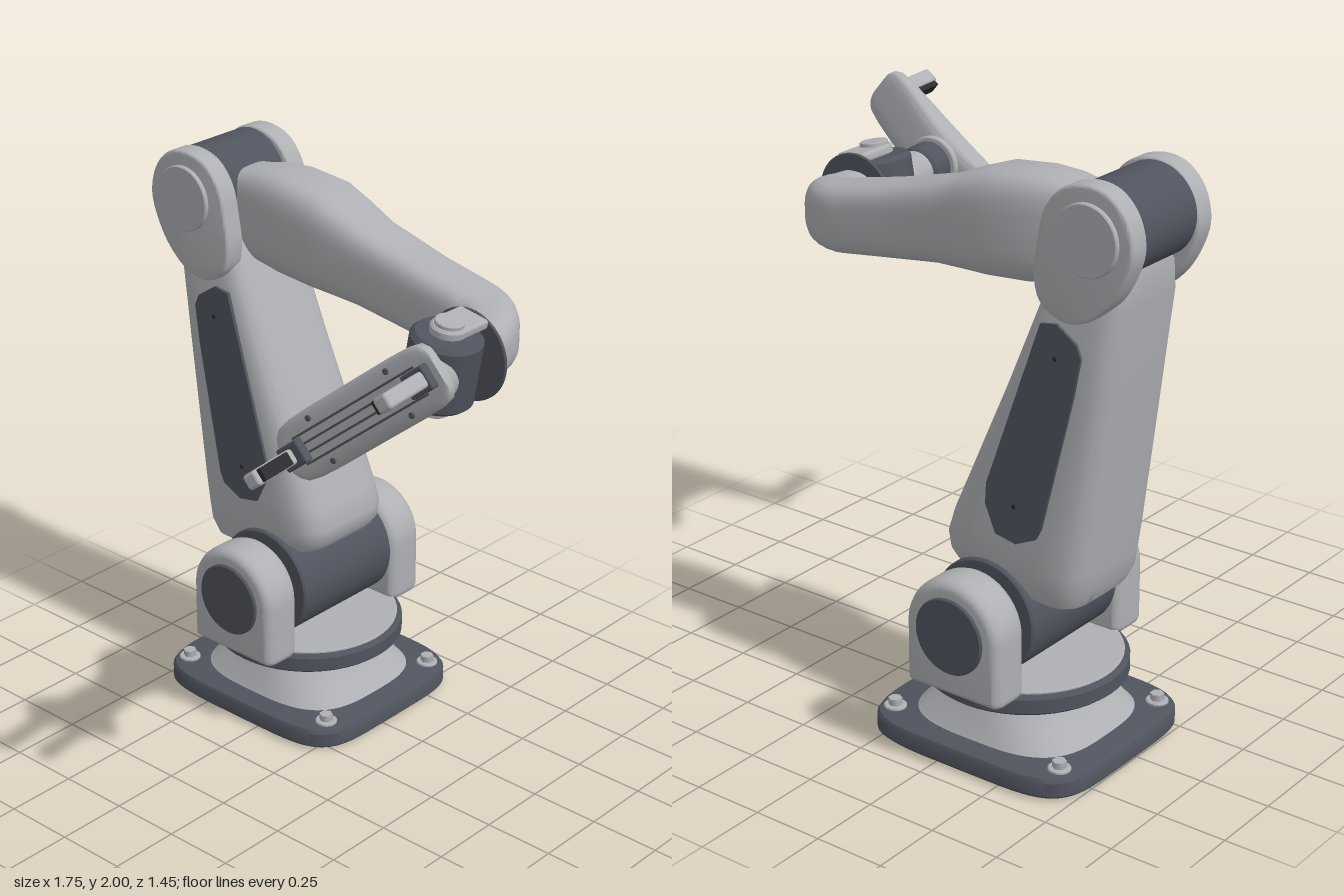
import * as THREE from 'three';
import { toCreasedNormals } from 'three/addons/utils/BufferGeometryUtils.js';
import { RoundedBoxGeometry } from 'three/addons/geometries/RoundedBoxGeometry.js';

const mat = (name, color) => Object.assign(new THREE.MeshStandardMaterial({ color }), { name });
const V = (x, y, z) => new THREE.Vector3(x, y, z);
const MID = -0.3; // z of the arm's plane of symmetry

// Point on a superellipse: higher n is squarer
function oval(i, count, a, b, n) {
  const t = (i / count) * Math.PI * 2, c = Math.cos(t), s = Math.sin(t);
  return [a * Math.sign(c) * Math.abs(c) ** (2 / n), b * Math.sign(s) * Math.abs(s) ** (2 / n)];
}

// Skin over closed rings, capped at both ends and turned outward
function loft(rings, crease = 0.6) {
  const n = rings[0].length, pos = [], tri = [];
  rings.forEach(r => r.forEach(p => pos.push(p)));
  for (let k = 0; k < rings.length - 1; k++)
    for (let i = 0; i < n; i++) {
      const a = k * n + i, b = k * n + (i + 1) % n;
      tri.push([a, b, b + n], [a, b + n, a + n]);
    }
  [0, rings.length - 1].forEach((k, end) => {
    const c = pos.push(rings[k].reduce((s, p) => s.add(p), V(0, 0, 0)).divideScalar(n)) - 1;
    for (let i = 0; i < n; i++) {
      const a = k * n + i, b = k * n + (i + 1) % n;
      tri.push(end ? [a, b, c] : [b, a, c]);
    }
  });
  const o = pos[0];
  const vol = tri.reduce((s, [a, b, c]) => s + pos[a].clone().sub(o)
    .dot(pos[b].clone().sub(o).cross(pos[c].clone().sub(o))), 0);
  const g = new THREE.BufferGeometry().setFromPoints(pos);
  g.setIndex(tri.flatMap(t => (vol < 0 ? [t[0], t[2], t[1]] : t)));
  return toCreasedNormals(g, crease);
}

function extrude(shape, depth, bevel = 0, size = bevel) {
  const g = new THREE.ExtrudeGeometry(shape, {
    depth: depth - 2 * bevel, bevelEnabled: bevel > 0, bevelThickness: bevel,
    bevelSize: size, bevelOffset: -size, bevelSegments: 4, curveSegments: 24 });
  return toCreasedNormals(g.translate(0, 0, -depth / 2 + bevel), 0.6);
}

// Solid of revolution along y, or along z when alongZ is set
function turned(points, alongZ = false, sides = 48) {
  const g = new THREE.LatheGeometry(points.map(p => new THREE.Vector2(...p)), sides);
  if (alongZ) g.rotateX(Math.PI / 2);
  return toCreasedNormals(g, 0.5);
}
const drum = (r, a, b, alongZ, e = 0.006) =>
  turned([[0, a], [r - e, a], [r, a + e], [r, b - e], [r - e, b], [0, b]], alongZ);

export function createModel() {
  const light = mat('lightGrey', 0xaeb0b4), dark = mat('darkGrey', 0x50545e), black = mat('black', 0x2b2c30);
  const model = new THREE.Group();
  model.name = 'robotArm';
  const add = (name, geo, m, x = 0, y = 0, z = 0, parent = model) => {
    const mesh = new THREE.Mesh(geo, m);
    mesh.name = name;
    mesh.position.set(x, y, z);
    parent.add(mesh);
    return mesh;
  };
  const group = (name, x, y, z, parent = model) => {
    const g = new THREE.Group();
    g.name = name;
    g.position.set(x, y, z);
    parent.add(g);
    return g;
  };

  // Base: squarish plate, flared pedestal, corner bolts, turntable
  const base = group('base', -0.34, 0, MID);
  const level = ([y, a, b, n]) =>
    Array.from({ length: 64 }, (_, i) => { const p = oval(i, 64, a, b, n); return V(p[0], y, p[1]); });
  add('basePlate', loft([[0, 0.405, 0.365, 5], [0.015, 0.42, 0.38, 5], [0.063, 0.42, 0.38, 5],
    [0.075, 0.413, 0.373, 5], [0.08, 0.4, 0.36, 5]].map(level)), dark, 0, 0, 0, base);
  add('pedestal', loft([[0.078, 0.33, 0.3, 3.2], [0.095, 0.315, 0.29, 3], [0.15, 0.275, 0.265, 2.5],
    [0.195, 0.243, 0.243, 2], [0.225, 0.235, 0.235, 2]].map(level)), light, 0, 0, 0, base);
  for (const x of [-0.335, 0.335]) for (const z of [-0.275, 0.275]) {
    add('washer', drum(0.038, 0.078, 0.09, false, 0.003), light, x, 0, z, base);
    add('bolt', new THREE.CylinderGeometry(0.024, 0.024, 0.025, 6), light, x, 0.1, z, base);
  }
  add('turntable', turned([[0, 0.22], [0.325, 0.22], [0.34, 0.232], [0.34, 0.28], [0.33, 0.292], [0, 0.292]]), dark, 0, 0, 0, base);
  add('turntableTop', drum(0.322, 0.288, 0.3, false, 0.003), light, 0, 0, 0, base);

  // Shoulder: dark drum held by two arched brackets
  const shoulder = group('shoulder', -0.34, 0.5, MID);
  add('shoulderDrum', drum(0.195, -0.23, 0.23, true), dark, 0, 0, 0, shoulder);
  add('shoulderAxle', drum(0.08, -0.28, 0.28, true), light, 0, 0, 0, shoulder);
  const arch = new THREE.Shape();
  arch.moveTo(-0.185, -0.19).lineTo(-0.185, 0).absarc(0, 0, 0.185, Math.PI, 0, true)
    .lineTo(0.185, -0.19).quadraticCurveTo(0.185, -0.22, 0.155, -0.22)
    .lineTo(-0.155, -0.22).quadraticCurveTo(-0.185, -0.22, -0.185, -0.19);
  for (const s of [-1, 1]) {
    add('shoulderBracket', extrude(arch, 0.155, 0.045, 0.03), light, 0, 0, s * 0.328, shoulder);
    add('shoulderCap', drum(0.13, -0.012, 0.012, true, 0.004), dark, 0, 0, s * 0.405, shoulder);
  }

  // Lower arm: stations of left x, y, right x, y and half depth
  add('lowerArm', loft([[-0.6, 0.555, -0.2, 0.645, 0.17], [-0.645, 0.58, -0.16, 0.65, 0.2],
    [-0.67, 0.63, -0.138, 0.68, 0.212], [-0.68, 0.7, -0.13, 0.73, 0.216], [-0.695, 0.8, -0.155, 0.81, 0.214],
    [-0.76, 1.3, -0.37, 1.3, 0.197], [-0.8, 1.6, -0.5, 1.62, 0.183], [-0.81, 1.7, -0.55, 1.72, 0.15],
    [-0.8, 1.75, -0.58, 1.76, 0.12]].map(([xl, yl, xr, yr, hz]) =>
    Array.from({ length: 64 }, (_, i) => {
      const [u, w] = oval(i, 64, 0.5, hz, 4.6);
      return V(xl + (xr - xl) * (u + 0.5), yl + (yr - yl) * (u + 0.5), w);
    }))), light, 0, 0, MID);

  // Dark side panels lying on the sloped sides of the lower arm
  const outline = [[-0.59, 1.54], [-0.665, 1.49], [-0.682, 1.45], [-0.66, 1.32], [-0.555, 0.86], [-0.535, 0.82],
    [-0.46, 0.785], [-0.38, 0.8], [-0.338, 0.89], [-0.34, 0.96], [-0.5, 1.44], [-0.53, 1.53]];
  const panel = new THREE.Shape(outline.map(p => new THREE.Vector2(...p)));
  for (const s of [-1, 1]) {
    const g = extrude(panel, 0.018);
    const p = g.attributes.position;
    for (let i = 0; i < p.count; i++)
      p.setZ(i, p.getZ(i) + s * (0.214 - (p.getY(i) - 0.8) * 0.0365));
    g.computeVertexNormals();
    add('armPanel', g, dark, 0, 0, MID);
    for (const [x, y] of [[-0.59, 1.43], [-0.45, 0.91]])
      add('panelScrew', drum(0.008, -0.003, 0.003, true, 0.001), black, x, y, MID + s * (0.224 - (y - 0.8) * 0.0365));
  }

  // Elbow: egg-shaped cheeks, round bosses and a dark drum between them
  const egg = new THREE.Shape().setFromPoints(new THREE.CatmullRomCurve3([[-0.87, 1.82], [-0.845, 1.92],
    [-0.78, 1.985], [-0.695, 2], [-0.61, 1.973], [-0.55, 1.9], [-0.525, 1.8], [-0.512, 1.69], [-0.535, 1.605],
    [-0.62, 1.557], [-0.71, 1.575], [-0.79, 1.64], [-0.845, 1.73]].map(p => V(p[0], p[1], 0)), true)
    .getPoints(72).slice(0, -1).map(p => new THREE.Vector2(p.x, p.y)));
  for (const s of [-1, 1]) {
    add('elbowCheek', extrude(egg, 0.08, 0.01), light, 0, 0, MID + s * 0.172);
    add('elbowBoss', drum(0.115, -0.01, 0.01, true, 0.004), light, -0.71, 1.835, MID + s * 0.217);
  }
  add('elbowDrum', drum(0.15, -0.14, 0.14, true), dark, -0.715, 1.845, MID);

  // Upper arm: tapers outward, then turns forward at the wrist
  const stations = [[-0.62, MID, 0, 1.785, 0.1, 0.14], [-0.56, MID, 0, 1.785, 0.106, 0.148],
    [-0.5, -0.305, 0, 1.779, 0.118, 0.166], [-0.4, -0.31, 0, 1.773, 0.132, 0.176], [-0.25, -0.31, 0, 1.76, 0.138, 0.173],
    [-0.15, -0.307, 0, 1.74, 0.129, 0.157], [-0.04, -0.303, 0, 1.714, 0.117, 0.137], [0.2, MID, 0, 1.667, 0.109, 0.123],
    [0.36, MID, 0, 1.64, 0.108, 0.117]];
  for (let k = 0; k <= 8; k++) {
    const a = (k / 8) * Math.PI / 2, f = k / 8;
    stations.push([0.38 + 0.14 * Math.sin(a), -0.16 - 0.14 * Math.cos(a), a, 1.637 - 0.022 * f, 0.107 - 0.013 * f, 0.116 - 0.018 * f]);
  }
  stations.push([0.52, -0.108, Math.PI / 2, 1.615, 0.092, 0.096]);
  add('upperArm', loft(stations.map(([x, z, a, y, hw, hh]) => Array.from({ length: 48 }, (_, i) => {
    const [u, v] = oval(i, 48, hw, hh, 3.6 - a * 0.7);
    return V(x - u * Math.sin(a), y + v, z + u * Math.cos(a));
  }))), light);

  // Wrist: thin flange, two fork tines and a dark knuckle
  const wrist = group('wrist', 0.52, 1.615, 0);
  wrist.rotation.z = -0.17;
  add('wristFlange', drum(0.155, -0.112, -0.1, true, 0.003), dark, 0, 0, 0, wrist);
  add('wristKnuckle', drum(0.118, -0.12, 0.12, false, 0.015), dark, 0, 0, 0.022, wrist);
  for (const s of [-1, 1]) {
    add('forkTine', new RoundedBoxGeometry(0.12, 0.035, 0.13, 3, 0.012), light, 0, s * 0.135, -0.04, wrist);
    add('forkEnd', drum(0.06, -0.018, 0.018, false, 0.008), light, 0, s * 0.135, 0.022, wrist);
    add('forkPin', drum(0.048, -0.008, 0.008, false, 0.003), light, 0, s * 0.158, 0.022, wrist);
  }

  // Hand: neck, dark collar and gripper, yawed a little to the left
  const hand = group('hand', 0.52, 1.615, 0.02);
  hand.rotation.y = 0.12;
  add('wristNeck', turned([[0, 0.04], [0.1, 0.04], [0.103, 0.09], [0.092, 0.13], [0.077, 0.18], [0.074, 0.225], [0, 0.225]], true), light, 0, 0, 0, hand);
  add('collar', drum(0.084, 0.22, 0.322, true, 0.008), dark, 0, 0, 0, hand);
  add('collarRing', drum(0.098, 0.32, 0.345, true, 0.004), light, 0, 0, 0, hand);
  const gripper = group('gripper', 0, 0, 0, hand);
  gripper.rotation.z = 0.68;
  const FRONT = 0.458;
  const half = [[0.352, 0.055, 0.035], [0.342, 0.075, 0.046], [0.32, 0.093, 0.056], [0.27, 0.102, 0.068],
    [0.18, 0.105, 0.092], [0.09, 0.105, 0.112]];
  const bars = [...half.map(([x, h, d]) => [-x, h, d]), [0, 0.105, 0.118], ...half.slice().reverse()];
  add('gripperBar', loft(bars.map(([x, h, d]) => Array.from({ length: 40 }, (_, i) => {
    const [u, w] = oval(i, 40, h, d / 2, 4);
    return V(x, u, FRONT - d / 2 + w);
  }))), light, 0, 0, 0, gripper);
  for (const y of [-0.045, -0.015, 0.015, 0.045])
    add('railGroove', new THREE.BoxGeometry(0.56, 0.007, 0.006), dark, 0, y, FRONT, gripper);
  for (const y of [-0.03, 0.03])
    add('rail', new THREE.BoxGeometry(0.56, 0.02, 0.014), light, 0, y, FRONT, gripper);
  for (const x of [-0.18, 0.18]) for (const y of [-0.075, 0.075])
    add('gripperScrew', drum(0.01, -0.004, 0.004, true, 0.001), dark, x, y, FRONT, gripper);

  // Two fingers with black pads facing each other
  for (const s of [-1, 1]) {
    const finger = group('finger', s * 0.288, 0, FRONT, gripper);
    add('fingerMount', new RoundedBoxGeometry(0.095, 0.08, 0.035, 2, 0.008), dark, 0, 0, 0.02, finger);
    add('fingerBlade', new RoundedBoxGeometry(0.056, 0.052, 0.2, 3, 0.012), light, s * 0.012, 0, 0.13, finger);
    add('fingerPad', new RoundedBoxGeometry(0.02, 0.044, 0.14, 2, 0.004), black, s * -0.024, 0, 0.145, finger);
  }
  return model;
}
